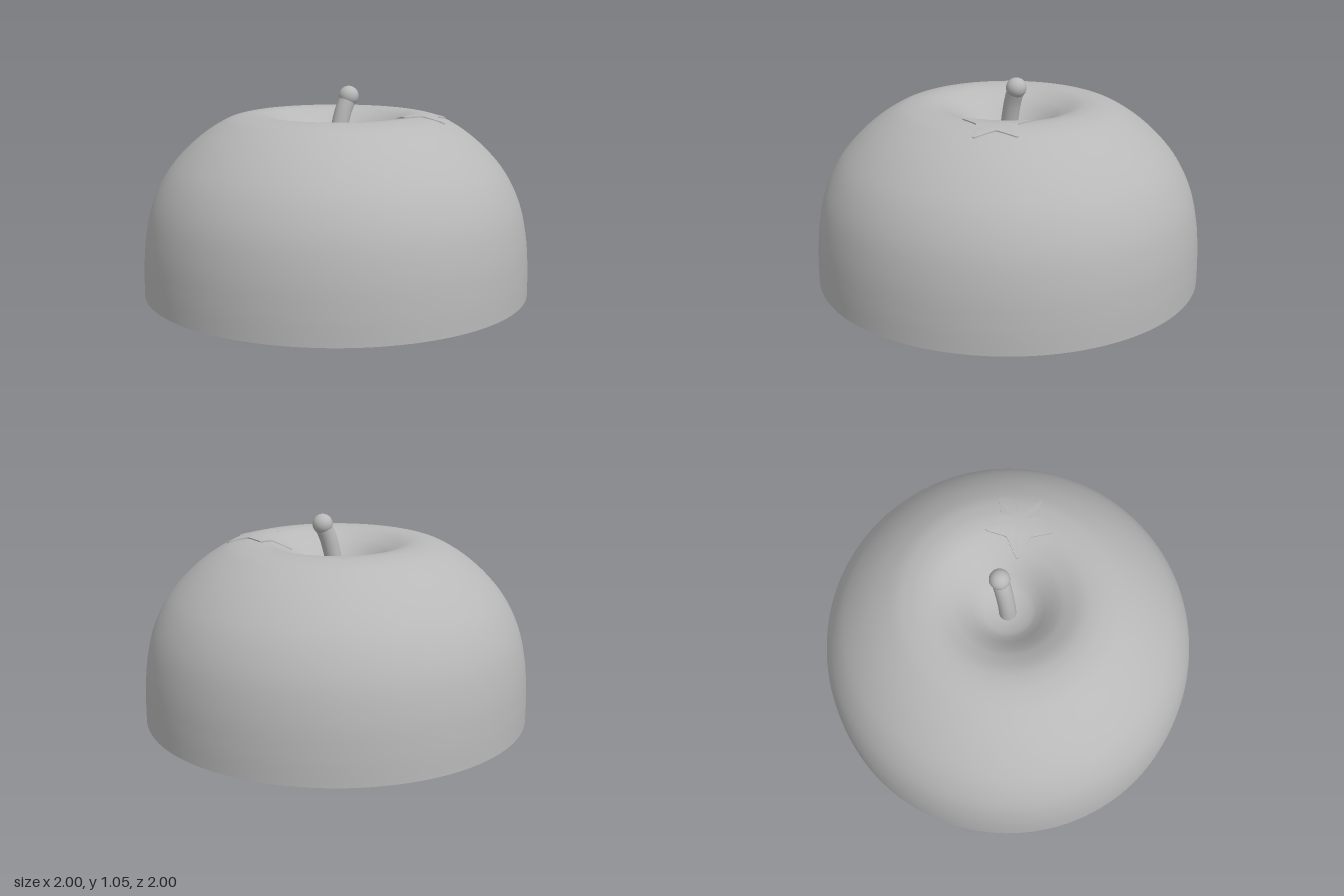
import * as THREE from 'three';

const grey = new THREE.MeshStandardMaterial({ color: 0xb8b8b8 });
grey.name = 'plain grey';

// Outer profile [radius, height], from the open base up over the crest into the dimple
const OUTLINE = [
  [1, 0], [0.998, 0.14], [0.985, 0.3], [0.95, 0.46], [0.885, 0.6], [0.8, 0.71],
  [0.69, 0.81], [0.57, 0.885], [0.48, 0.912], [0.41, 0.916], [0.35, 0.904],
  [0.28, 0.87], [0.24, 0.842], [0.2, 0.806], [0.16, 0.767], [0.12, 0.737],
  [0.06, 0.716], [0, 0.712],
];
const WALL = 0.042;

function part(name, geometry) {
  const mesh = new THREE.Mesh(geometry, grey);
  mesh.name = name;
  return mesh;
}

// Height of the outer skin at a given distance from the axis
function skinHeight(profile, r) {
  for (let i = 1; i < profile.length; i++) {
    const a = profile[i - 1], b = profile[i];
    if (r <= a.x && r >= b.x && a.x > b.x) {
      return a.y + ((a.x - r) / (a.x - b.x)) * (b.y - a.y);
    }
  }
  return profile[profile.length - 1].y;
}

// Rounded five-pointed outline around the origin, in plan
function starOutline() {
  const corners = [];
  for (let i = 0; i < 10; i++) {
    const a = (i * Math.PI) / 5;
    const r = i % 2 ? 0.102 : 0.187;
    corners.push(new THREE.Vector2(r * Math.cos(a), r * Math.sin(a)));
  }
  const shape = new THREE.Shape();
  corners.forEach((c, i) => {
    const k = i % 2 ? 0.1 : 0.2;
    const from = c.clone().lerp(corners[(i + 9) % 10], k);
    const to = c.clone().lerp(corners[(i + 1) % 10], k);
    if (i === 0) shape.moveTo(from.x, from.y);
    else shape.lineTo(from.x, from.y);
    shape.quadraticCurveTo(c.x, c.y, to.x, to.y);
  });
  shape.closePath();
  const pts = shape.getPoints(5);
  pts.pop();
  return pts;
}

// Thin star that follows the curved skin: scaled rings plus a short skirt
function starGeometry(profile, cx, cz) {
  const outline = starOutline(), n = outline.length, rings = 10;
  const top = [], skirt = [], topIndex = [], skirtIndex = [];
  const put = (list, p, s, lift) => {
    const x = cx + p.x * s, z = cz + p.y * s;
    list.push(x, skinHeight(profile, Math.hypot(x, z)) + lift, z);
  };
  for (let k = 0; k <= rings; k++) {
    for (const p of outline) put(top, p, k / rings, 0.007);
  }
  for (const lift of [0.007, -0.008]) {
    for (const p of outline) put(skirt, p, 1, lift);
  }
  const band = (index, k) => {
    for (let i = 0; i < n; i++) {
      const j = (i + 1) % n;
      const a = k * n + i, b = k * n + j, c = a + n, d = b + n;
      index.push(a, b, c, b, d, c);
    }
  };
  for (let k = 0; k < rings; k++) band(topIndex, k);
  band(skirtIndex, 0);
  return [[top, topIndex], [skirt, skirtIndex]].map(([pos, index]) => {
    const g = new THREE.BufferGeometry();
    g.setAttribute('position', new THREE.Float32BufferAttribute(pos, 3));
    g.setIndex(index);
    g.computeVertexNormals();
    return g;
  });
}

export function createModel() {
  const model = new THREE.Group();
  model.name = 'appleLid';

  // Hollow shell: outer skin, offset inner skin and flat rim
  const curve = new THREE.SplineCurve(OUTLINE.map(([r, y]) => new THREE.Vector2(r, y)));
  const outer = curve.getPoints(96);
  outer.forEach((p) => { p.x = Math.min(1, Math.max(0, p.x)); });
  const inner = outer.map((p, i) => {
    const t = curve.getTangent(i / 96);
    return new THREE.Vector2(Math.max(0, p.x - t.y * WALL), Math.max(0, p.y + t.x * WALL));
  });
  inner[0].set(1 - WALL, 0);
  inner[96].x = 0;

  const shell = new THREE.Group();
  shell.name = 'shell';
  shell.add(
    part('outerSkin', new THREE.LatheGeometry(outer, 128)),
    part('innerSkin', new THREE.LatheGeometry(inner.slice().reverse(), 128)),
    part('rim', new THREE.LatheGeometry([inner[0], outer[0]], 128)),
  );
  model.add(shell);

  // Leaning stem with a round knob
  const path = new THREE.CatmullRomCurve3([
    new THREE.Vector3(0, 0.69, 0),
    new THREE.Vector3(0.012, 0.8, 0),
    new THREE.Vector3(0.041, 0.92, 0),
    new THREE.Vector3(0.075, 1.003, 0),
  ]);
  const stem = new THREE.Group();
  stem.name = 'stem';
  const knob = part('knob', new THREE.SphereGeometry(0.052, 32, 20));
  knob.position.set(0.075, 1.003, 0);
  stem.add(part('stalk', new THREE.TubeGeometry(path, 24, 0.044, 24)), knob);
  model.add(stem);

  // Star patch lying on the shoulder
  const [top, skirt] = starGeometry(outer, 0.318, 0.272);
  skirt.name = 'starEdge';
  const star = new THREE.Group();
  star.name = 'star';
  const face = part('starFace', top);
  const edge = part('starEdge', skirt);
  // Ring order runs x towards z, so the winding is turned to face outwards
  for (const mesh of [face, edge]) {
    const index = mesh.geometry.index;
    const a = new THREE.Vector3(), n = mesh.geometry.attributes.normal;
    a.fromBufferAttribute(n, n.count - 1);
    const outward = mesh === face ? a.y > 0 : a.x > 0;
    if (!outward) {
      for (let i = 0; i < index.count; i += 3) {
        const t = index.getX(i);
        index.setX(i, index.getX(i + 1));
        index.setX(i + 1, t);
      }
      mesh.geometry.computeVertexNormals();
    }
    star.add(mesh);
  }
  model.add(star);
  return model;
}
